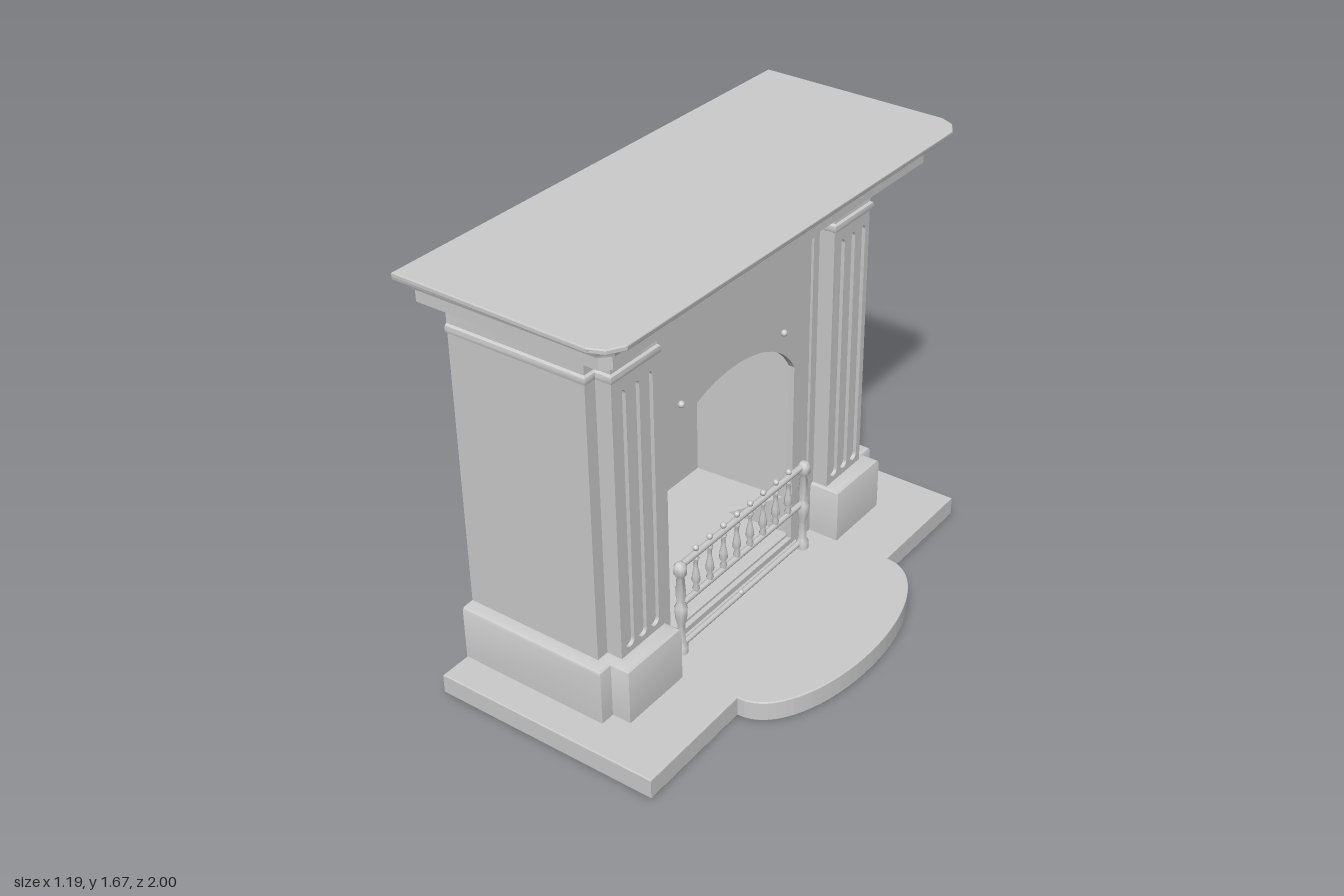
import * as THREE from 'three';
import { toCreasedNormals, mergeGeometries } from 'three/addons/utils/BufferGeometryUtils.js';

const mat = new THREE.MeshStandardMaterial({ color: 0xcccccc, side: THREE.DoubleSide });

// Built with the opening facing +z, then turned to face +x.
export function createModel() {
  const model = new THREE.Group();
  const body = new THREE.Group();
  body.name = 'fireplace';
  body.rotation.y = Math.PI / 2;
  model.add(body);

  const add = (name, geo, x = 0, y = 0, z = 0) => {
    const m = new THREE.Mesh(geo, mat);
    m.name = name;
    m.position.set(x, y, z);
    body.add(m);
    return m;
  };
  // box from its limits
  const box = (name, x0, x1, y0, y1, z0, z1) =>
    add(name, new THREE.BoxGeometry(x1 - x0, y1 - y0, z1 - z0), (x0 + x1) / 2, (y0 + y1) / 2, (z0 + z1) / 2);
  // horizontal slab from a plan outline of [x, z]
  const slab = (name, pts, y0, y1, bevel = 0) => {
    const shape = new THREE.Shape(pts.map(([x, z]) => new THREE.Vector2(x, -z)));
    const geo = new THREE.ExtrudeGeometry(shape, {
      depth: y1 - y0 - 2 * bevel, bevelEnabled: bevel > 0, bevelSize: bevel,
      bevelOffset: -bevel, bevelThickness: bevel, bevelSegments: 2,
    });
    geo.rotateX(-Math.PI / 2);
    return add(name, geo, 0, y0 + bevel, 0);
  };
  const mirror = (path) => path.map(([x, z]) => [-x, z]).reverse();
  const rect = (x0, x1, y0, y1) =>
    new THREE.Shape([[x0, y0], [x1, y0], [x1, y1], [x0, y1]].map((p) => new THREE.Vector2(...p)));

  // moulding: profile of [outward offset, y] swept with mitres along a plan path
  const moulding = (name, path, profile) => {
    const dirs = path.slice(1).map(([x, z], i) => {
      const dx = x - path[i][0], dz = z - path[i][1], l = Math.hypot(dx, dz);
      return [-dz / l, dx / l];
    });
    const rings = path.map(([x, z], i) => {
      const a = dirs[Math.max(i - 1, 0)], b = dirs[Math.min(i, dirs.length - 1)];
      const k = 1 + a[0] * b[0] + a[1] * b[1];
      return profile.map(([o, y]) => [x + (o * (a[0] + b[0])) / k, y, z + (o * (a[1] + b[1])) / k]);
    });
    const pos = [];
    for (let i = 0; i < rings.length - 1; i++)
      for (let j = 0; j < profile.length - 1; j++) {
        const a = rings[i][j], b = rings[i + 1][j], c = rings[i + 1][j + 1], d = rings[i][j + 1];
        pos.push(...a, ...b, ...c, ...a, ...c, ...d);
      }
    const geo = new THREE.BufferGeometry();
    geo.setAttribute('position', new THREE.Float32BufferAttribute(pos, 3));
    return add(name, toCreasedNormals(geo, 0.6));
  };

  // hearth: U-shaped slab with a rounded front
  const hearth = [[-0.965, -0.55], [-0.965, 0.36]];
  for (let i = 0; i <= 32; i++) {
    const t = Math.PI * (1 - i / 32);
    hearth.push([0.02 + 0.49 * Math.cos(t), 0.352 + 0.242 * Math.sin(t) ** 0.92]);
  }
  hearth.push([1, 0.352], [1, -0.55], [0.825, -0.55], [0.825, 0], [-0.825, 0], [-0.825, -0.55]);
  slab('hearth', hearth, 0, 0.08, 0.004);

  // surround: hollow side walls, pilaster returns, inner strips and frieze
  const sideWall = [[-0.79, -0.55], [-0.79, 0.01], [-0.74, 0.01], [-0.74, 0.058]];
  const innerStrip = [[-0.51, 0.058], [-0.51, 0.01], [-0.475, 0.01], [-0.475, -0.025]];
  for (const flip of [(p) => p, mirror]) {
    moulding('sideWall', flip(sideWall), [[0, 0.285], [0, 1.53]]);
    moulding('innerStrip', flip(innerStrip), [[0, 0.07], [0, 1.5]]);
  }
  box('frieze', -0.48, 0.48, 1.345, 1.5, -0.02, 0.01);

  // pilasters with three sunk flutes each
  const slot = (cx, r, y0, y1) => {
    const p = new THREE.Path();
    p.absarc(cx, y1 - r, r, 0, Math.PI);
    p.absarc(cx, y0 + r, r, Math.PI, Math.PI * 2);
    p.closePath();
    return p;
  };
  for (const s of [-1, 1]) {
    const c = s * 0.625;
    box('fluteBacking', c - 0.114, c + 0.114, 0.08, 1.5, 0.052, 0.058);
    const face = rect(-0.115, 0.115, 0.08, 1.5);
    for (const k of [-1, 0, 1]) face.holes.push(slot(k * 0.068, 0.022, 0.32, 1.32));
    add('flutedFace', new THREE.ExtrudeGeometry(face, { depth: 0.016, bevelEnabled: false, curveSegments: 10 }), c, 0, 0.056);
  }

  // plinth blocks
  const plinth = [[-0.841, -0.55], [-0.841, 0.06], [-0.785, 0.06], [-0.785, 0.135], [-0.493, 0.135], [-0.493, 0]];
  const plinthProfile = [[0, 0.07], [0, 0.28], [-0.004, 0.29], [-0.012, 0.295], [-0.066, 0.297]];
  for (const p of [plinth, mirror(plinth)]) moulding('plinth', p, plinthProfile);

  // entablature moulding stepping around the pilasters
  const half = [[-0.79, -0.55], [-0.79, 0.01], [-0.74, 0.01], [-0.74, 0.072], [-0.51, 0.072], [-0.51, 0.01]];
  moulding('entablature', [...half, ...mirror(half)], [
    [0, 1.365], [0.008, 1.37], [0.011, 1.382], [0.008, 1.394], [0, 1.4], [0, 1.47], [0.01, 1.473],
    [0.014, 1.49], [0.026, 1.506], [0.048, 1.516], [0.052, 1.533]]);

  // mantel shelf, its top falling slightly to the front
  moulding('shelfMoulding', [[-0.91, -0.55], [-0.91, 0.17], [-0.88, 0.2], [0.88, 0.2], [0.91, 0.17], [0.91, -0.55]], [
    [-0.125, 1.53], [0, 1.53], [0, 1.575], [0.012, 1.58], [0.016, 1.595], [0.03, 1.612],
    [0.055, 1.624], [0.07, 1.638], [0.088, 1.645], [0.09, 1.655]]);
  const corner = [[-1, -0.55], [-1, 0.2], [-0.975, 0.255], [-0.92, 0.287]];
  slab('shelfTop', [...corner, ...mirror(corner)], 1.643, 1.662, 0.004).rotation.x = 0.014;

  // cast insert with arched opening
  const insert = rect(-0.48, 0.48, 0.07, 1.35);
  const arch = new THREE.Path();
  arch.moveTo(-0.38, 0.1);
  arch.lineTo(0.38, 0.1);
  arch.lineTo(0.38, 0.86);
  arch.bezierCurveTo(0.32, 0.97, 0.18, 1.045, 0, 1.045);
  arch.bezierCurveTo(-0.18, 1.045, -0.32, 0.97, -0.38, 0.86);
  arch.closePath();
  insert.holes.push(arch);
  add('insertPanel', new THREE.ExtrudeGeometry(insert, { depth: 0.025, bevelEnabled: false, curveSegments: 16 }), 0, 0, -0.025);
  for (const s of [-1, 1])
    add('insertKnob', new THREE.SphereGeometry(0.013, 12, 8), s * 0.302, s < 0 ? 1.05 : 1.04, 0.005);

  // firebox: tapering walls, lid, floor, skirt and flue
  const wall = [[-0.41, -0.02], [-0.38, -0.42], [-0.34, -0.46], [0.34, -0.46], [0.38, -0.42], [0.41, -0.02],
    [0.39, -0.02], [0.36, -0.425], [-0.325, -0.425], [-0.39, -0.02]];
  slab('fireboxWalls', wall, 0.1, 1.29);
  slab('fireboxLid', wall.slice(0, 6), 1.27, 1.31, 0.012);
  slab('fireboxFloor', wall.slice(0, 6), 0.085, 0.11);
  const skirt = wall.map(([x, z], i) => (i < 6 ? [x * 1.04, i === 0 || i === 5 ? z : z - 0.02] : [x * 1.03, z]));
  slab('fireboxSkirt', skirt, 0.1, 0.27, 0.012);
  const flue = new THREE.Shape([[0.44, 1.09], [0.585, 1.1], [0.6, 1.115], [0.6, 1.355], [0.585, 1.355], [0.55, 1.325], [0.44, 1.3]]
    .map((p) => new THREE.Vector2(...p)));
  const flueGeo = new THREE.ExtrudeGeometry(flue, { depth: 0.52, bevelEnabled: false });
  flueGeo.rotateY(Math.PI / 2);
  add('flue', flueGeo.translate(-0.25, 0, 0));

  // narrow ledge along the fireback
  box('firebackLedge', -0.345, 0.36, 0.232, 0.255, -0.43, -0.35);

  // guard: rails, end posts and turned spindles
  const rail = (name, y, r) => {
    const g = new THREE.CylinderGeometry(r, r, 0.77, 10);
    add(name, g.rotateZ(Math.PI / 2), 0, y, 0.045);
  };
  rail('topRail', 0.45, 0.013);
  rail('lowerRail', 0.282, 0.012);
  rail('bottomRail', 0.105, 0.011);
  const lathe = (pts, n) => toCreasedNormals(
    new THREE.LatheGeometry(pts.map((p) => new THREE.Vector2(...p)), n).toNonIndexed(), 0.9);
  const post = lathe([[0, 0.08], [0.024, 0.08], [0.024, 0.11], [0.016, 0.125], [0.014, 0.2], [0.022, 0.24], [0.024, 0.28],
    [0.014, 0.3], [0.019, 0.34], [0.014, 0.41], [0.024, 0.425], [0.024, 0.455], [0.014, 0.468], [0, 0.472]], 14);
  for (const s of [-1, 1]) add('guardPost', post, s * 0.383, 0, 0.05);
  const spindle = mergeGeometries([
    lathe([[0.008, 0.282], [0.014, 0.3], [0.009, 0.315], [0.016, 0.335], [0.014, 0.36], [0.008, 0.39],
      [0.008, 0.415], [0.014, 0.43], [0.008, 0.445], [0.006, 0.466]], 10),
    new THREE.SphereGeometry(0.012, 10, 8).translate(0, 0.474, 0).toNonIndexed(),
  ]);
  for (let i = 0; i < 8; i++) add('guardSpindle', spindle, -0.287 + i * 0.082, 0, 0.045);
  add('guardKnob', new THREE.SphereGeometry(0.011, 12, 8), -0.02, 0.115, 0.05);

  return model;
}
